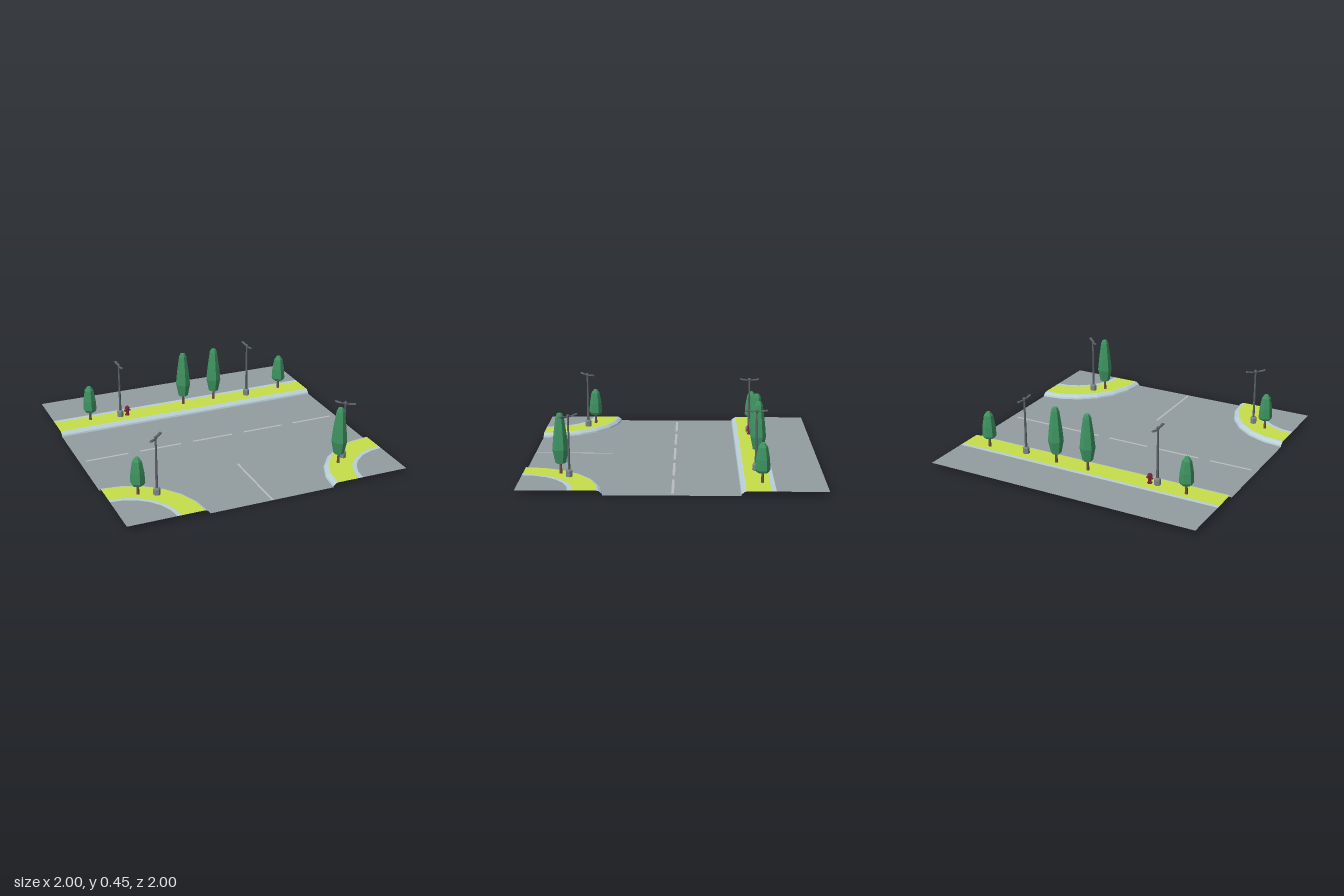
import * as THREE from 'three';

const mat = (color) => new THREE.MeshStandardMaterial({ color, flatShading: true, side: THREE.DoubleSide });
const M = {
  asphalt: mat(0x929c9f), marking: mat(0xb9bcbd), kerb: mat(0xb9ced6), grass: mat(0xc6dd4a),
  leaf: mat(0x3f9562), trunk: mat(0x6e5040), metal: mat(0x5c6468), stone: mat(0x7d888b), red: mat(0x7d2233),
};
const R = 0.56, ARC = 6, TOP = 0.03;

function add(parent, name, geo, material, x = 0, y = 0, z = 0) {
  const mesh = new THREE.Mesh(geo, material);
  mesh.name = name;
  mesh.position.set(x, y, z);
  parent.add(mesh);
  return mesh;
}

// Edge of each pavement: point at fraction t along it, set back by d from the road
const edges = {
  back: { n: 1, at: (t, d) => [1 - 2 * t, -0.44 - d] },
  rightCorner: { n: ARC, at: (t, d) => [-1 + (R - d) * Math.sin(t * Math.PI / 2), 1 - (R - d) * Math.cos(t * Math.PI / 2)] },
  leftCorner: { n: ARC, at: (t, d) => [1 - (R - d) * Math.cos(t * Math.PI / 2), 1 - (R - d) * Math.sin(t * Math.PI / 2)] },
};

// Sweep a cross-section of [setback, height] points along an edge
function sweep({ n, at }, profile) {
  const pos = [];
  const p = (i, [d, y]) => { const [x, z] = at(i / n, d); return [x, y, z]; };
  for (let i = 0; i < n; i++) {
    for (let j = 0; j < profile.length - 1; j++) {
      const a = p(i, profile[j]), b = p(i, profile[j + 1]);
      const c = p(i + 1, profile[j + 1]), e = p(i + 1, profile[j]);
      pos.push(...a, ...b, ...c, ...a, ...c, ...e);
    }
  }
  const geo = new THREE.BufferGeometry();
  geo.setAttribute('position', new THREE.Float32BufferAttribute(pos, 3));
  geo.computeVertexNormals();
  return geo;
}

const layers = [
  ['kerb', M.kerb, [[0, 0], [0.004, 0.012], [0.024, 0.027], [0.035, TOP]]],
  ['verge', M.grass, [[0.035, TOP], [0.195, TOP]]],
  ['innerKerb', M.kerb, [[0.195, TOP], [0.225, TOP]]],
  ['pavement', M.asphalt, [[0.225, TOP], [R, TOP]]],
];

// Road surface with the lane markings let into it
function addRoad(g) {
  const pts = [[-1, -0.44]];
  for (let i = 0; i <= ARC; i++) pts.push(edges.rightCorner.at(i / ARC, 0));
  for (let i = 0; i <= ARC; i++) pts.push(edges.leftCorner.at(i / ARC, 0));
  pts.push([1, -0.44]);
  const shape = new THREE.Shape(pts.map(([x, z]) => new THREE.Vector2(x, -z)));
  const marks = [-0.8, -0.4, 0, 0.4, 0.8].map((x) => [x, -0.005, 0.31, 0.018]);
  marks.push([-0.003, 0.718, 0.015, 0.555]);
  for (const [x, z, w, d] of marks) {
    const c = [[-1, -1], [-1, 1], [1, 1], [1, -1]];
    shape.holes.push(new THREE.Path(c.map(([u, v]) => new THREE.Vector2(x + u * w / 2, -z + v * d / 2))));
    add(g, 'laneMarking', new THREE.PlaneGeometry(w, d).rotateX(-Math.PI / 2), M.marking, x, 0, z);
  }
  add(g, 'road', new THREE.ShapeGeometry(shape).rotateX(-Math.PI / 2), M.asphalt);
}

const lathe = (profile, sides) => new THREE.LatheGeometry(profile.map(([r, y]) => new THREE.Vector2(r, y)), sides);

// Six-sided trees, tall or short
const crowns = {
  tall: [[0, 0.1], [0.036, 0.104], [0.054, 0.195], [0.045, 0.29], [0.028, 0.415], [0.018, 0.44], [0, 0.446]],
  short: [[0, 0.1], [0.04, 0.1], [0.05, 0.118], [0.046, 0.19], [0.032, 0.27], [0.012, 0.298], [0, 0.3]],
};
function addTree(g, kind, x, z) {
  const tree = new THREE.Group();
  tree.name = kind + 'Tree';
  tree.position.set(x, 0, z);
  add(tree, 'trunk', new THREE.CylinderGeometry(0.007, 0.011, 0.085, 6), M.trunk, 0, 0.065, 0);
  add(tree, 'foliage', lathe(crowns[kind], 6), M.leaf);
  g.add(tree);
}

// Street lamp with two opposed heads lying along its own z axis
function addLamp(g, x, z, turn) {
  const lamp = new THREE.Group();
  lamp.name = 'streetLamp';
  lamp.position.set(x, 0, z);
  lamp.rotation.y = turn;
  add(lamp, 'base', lathe([[0, 0.02], [0.024, 0.02], [0.024, 0.07], [0.016, 0.08], [0, 0.08]], 6), M.stone);
  add(lamp, 'pole', new THREE.CylinderGeometry(0.006, 0.009, 0.36, 6), M.metal, 0, 0.26, 0);
  add(lamp, 'finial', lathe([[0, 0.428], [0.011, 0.432], [0.012, 0.442], [0.006, 0.45], [0, 0.451]], 6), M.metal);
  for (const s of [1, -1]) {
    const arm = new THREE.Group();
    arm.name = 'lampArm';
    arm.position.y = 0.434;
    arm.rotation.y = s > 0 ? 0 : Math.PI;
    const bar = add(arm, 'bracket', new THREE.CylinderGeometry(0.004, 0.004, 0.04, 6), M.metal, 0, 0, 0.02);
    bar.rotation.x = Math.PI / 2;
    const head = add(arm, 'lampHead', new THREE.CylinderGeometry(0.011, 0.009, 0.045, 6), M.metal, 0, 0.004, 0.05);
    head.scale.z = 0.65;
    head.rotation.x = Math.PI / 2 - 0.14;
    lamp.add(arm);
  }
  g.add(lamp);
}

function addHydrant(g, x, z) {
  const hydrant = new THREE.Group();
  hydrant.name = 'hydrant';
  hydrant.position.set(x, 0, z);
  add(hydrant, 'body', lathe([[0, 0.025], [0.018, 0.025], [0.018, 0.036], [0.012, 0.038], [0.012, 0.08],
    [0.018, 0.082], [0.018, 0.088], [0.01, 0.1], [0, 0.103]], 8), M.red);
  const outlets = add(hydrant, 'outlets', new THREE.CylinderGeometry(0.007, 0.007, 0.048, 6), M.red, 0, 0.068, 0);
  outlets.rotation.z = Math.PI / 2;
  const nozzle = add(hydrant, 'frontNozzle', new THREE.CylinderGeometry(0.008, 0.008, 0.022, 6), M.red, 0, 0.064, 0.011);
  nozzle.rotation.x = Math.PI / 2;
  g.add(hydrant);
}

export function createModel() {
  const g = new THREE.Group();
  g.name = 'roadJunction';
  addRoad(g);

  // Raised pavements along the back and around both front corners
  for (const [side, edge] of Object.entries(edges)) {
    const walk = new THREE.Group();
    walk.name = side + 'Sidewalk';
    for (const [name, material, profile] of layers) add(walk, name, sweep(edge, profile), material);
    g.add(walk);
  }

  for (const [x, z] of [[0, -0.585], [0.25, -0.585], [0.615, 0.745]]) addTree(g, 'tall', x, z);
  for (const [x, z] of [[-0.74, -0.585], [0.803, -0.585], [-0.797, 0.632]]) addTree(g, 'short', x, z);

  for (const s of [1, -1]) {
    addLamp(g, s * 0.515, -0.557, 0);
    addLamp(g, s * 0.685, 0.682, s * Math.PI / 4);
  }
  addHydrant(g, -0.46, -0.56);
  return g;
}
